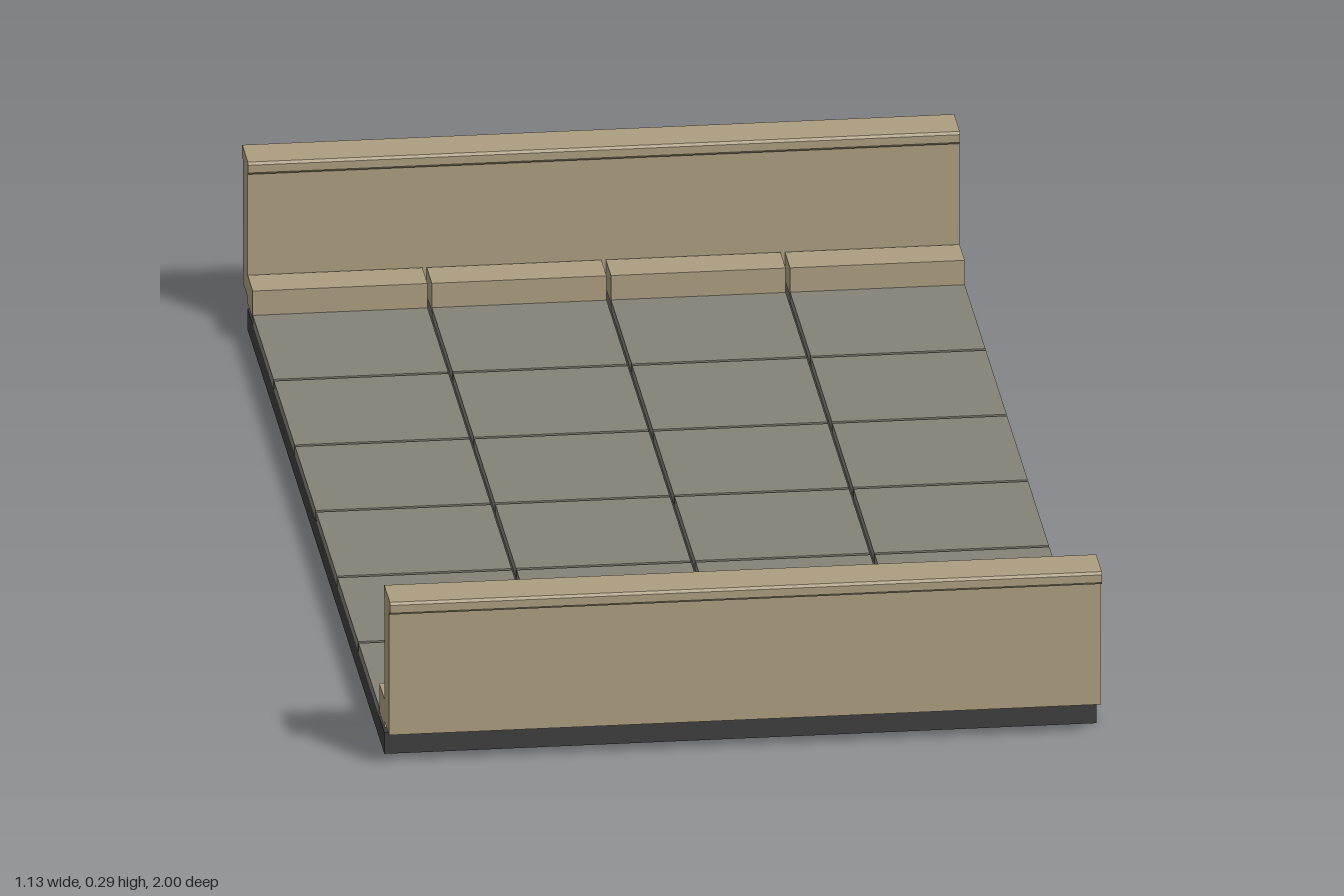
import * as THREE from 'three';

export function createModel() {
  const model = new THREE.Group();
  const stone = new THREE.MeshStandardMaterial({ name: 'sandstone', color: 0xac9d80 });
  const paving = new THREE.MeshStandardMaterial({ name: 'grey paving', color: 0x858176 });
  const asphalt = new THREE.MeshStandardMaterial({ name: 'dark slab', color: 0x3e3e3f });
  const HALF = 0.567, GAP = 0.007;

  // Box given by its lower and upper corners
  function box(name, material, [x0, y0, z0], [x1, y1, z1], parent = model) {
    const mesh = new THREE.Mesh(new THREE.BoxGeometry(x1 - x0, y1 - y0, z1 - z0), material);
    mesh.position.set((x0 + x1) / 2, (y0 + y1) / 2, (z0 + z1) / 2);
    mesh.name = name;
    parent.add(mesh);
  }

  box('deckSlab', asphalt, [-HALF, 0, -0.923], [HALF, 0.036, 0.923]);

  // Paving: 4 x 6 slabs separated by narrow joints
  const tiles = new THREE.Group();
  tiles.name = 'pavingTiles';
  model.add(tiles);
  const w = (2 * HALF + GAP) / 4, d = (2 * 0.853 + GAP) / 6;
  for (let i = 0; i < 4; i++) {
    const x = -HALF + i * w;
    for (let j = 0; j < 6; j++) {
      const z = -0.853 + j * d;
      box('pavingTile', paving, [x, 0.036, z], [x + w - GAP, 0.052, z + d - GAP], tiles);
    }
  }

  // Chamfered coping profile, extruded along x
  const c = 0.004, z0 = 0.917, z1 = 1, y0 = 0.265, y1 = 0.286;
  const profile = new THREE.Shape([
    [z0 + c, y0], [z1 - c, y0], [z1, y0 + c], [z1, y1 - c],
    [z1 - c, y1], [z0 + c, y1], [z0, y1 - c], [z0, y0 + c],
  ].map(([z, y]) => new THREE.Vector2(-z, y)));
  const copingGeometry = new THREE.ExtrudeGeometry(profile, { depth: 2 * HALF, bevelEnabled: false });
  copingGeometry.rotateY(Math.PI / 2).translate(-HALF, 0, 0);

  // Parapet wall, coping and kerb blocks at both ends
  for (const [name, turn] of [['frontParapet', 0], ['backParapet', Math.PI]]) {
    const parapet = new THREE.Group();
    parapet.name = name;
    parapet.rotation.y = turn;
    model.add(parapet);
    box('parapetWall', stone, [-HALF, 0.056, 0.926], [HALF, 0.265, 0.985], parapet);
    for (let i = 0; i < 4; i++) {
      const x = -HALF + i * w;
      box('kerbBlock', stone, [x, 0.045, 0.854], [x + w - GAP, 0.093, 0.923], parapet);
    }
    const coping = new THREE.Mesh(copingGeometry, stone);
    coping.name = 'coping';
    parapet.add(coping);
  }
  return model;
}
